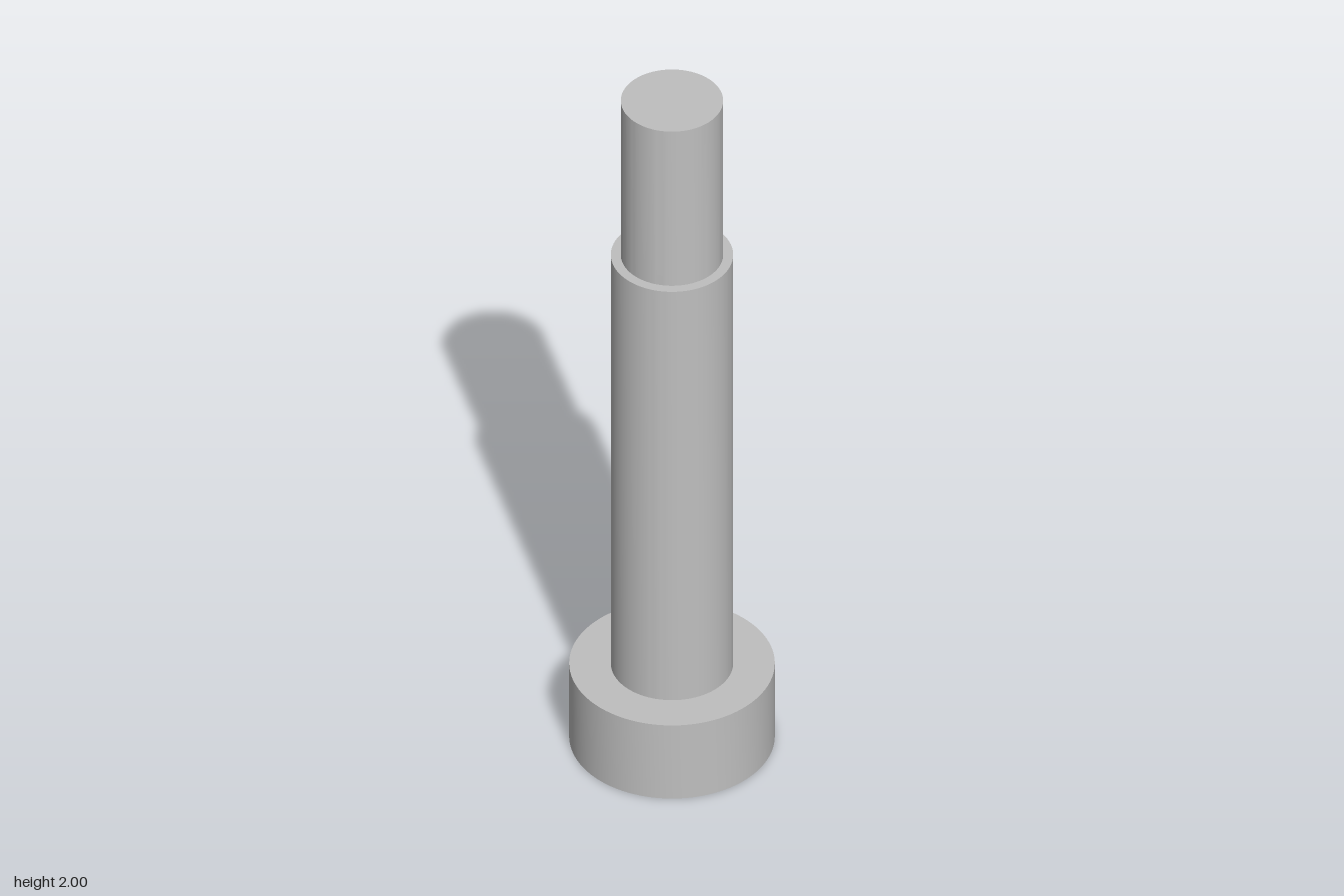
import * as THREE from 'three';
import { toCreasedNormals } from 'three/addons/utils/BufferGeometryUtils.js';

const HEAD_R = 0.257, HEAD_TOP = 0.23;
const SHOULDER_R = 0.153, SHOULDER_TOP = 1.515;
const TIP_R = 0.128, TIP_TOP = 2;
const SOCKET_R = 0.085, SOCKET_DEPTH = 0.13;
const SEGMENTS = 96;

// Turned surface with sharp edges at the steps
function turned(points, segments, start = 0) {
  const profile = points.map(([r, y]) => new THREE.Vector2(r, y));
  return toCreasedNormals(new THREE.LatheGeometry(profile, segments, start), Math.PI / 6);
}

export function createModel() {
  const group = new THREE.Group();
  group.name = 'shoulderScrew';
  const steel = new THREE.MeshStandardMaterial({ color: 0xbfbfbf });
  steel.name = 'steel';

  const add = (name, geometry) => {
    const mesh = new THREE.Mesh(geometry, steel);
    mesh.name = name;
    group.add(mesh);
  };

  // Head wall and its upper bearing face
  add('head', turned([[HEAD_R, 0], [HEAD_R, HEAD_TOP], [SHOULDER_R, HEAD_TOP]], SEGMENTS));

  // Wide shoulder with its step
  add('shoulder', turned([[SHOULDER_R, HEAD_TOP], [SHOULDER_R, SHOULDER_TOP], [TIP_R, SHOULDER_TOP]], SEGMENTS));

  // Narrow end with a flat cap
  add('tip', turned([[TIP_R, SHOULDER_TOP], [TIP_R, TIP_TOP], [0, TIP_TOP]], SEGMENTS));

  // Underside of the head, with the hexagonal opening
  const face = new THREE.Shape().absarc(0, 0, HEAD_R, 0, Math.PI * 2);
  const hexagon = Array.from({ length: 6 }, (_, i) => {
    const a = -i * Math.PI / 3;
    return new THREE.Vector2(SOCKET_R * Math.cos(a), SOCKET_R * Math.sin(a));
  });
  face.holes.push(new THREE.Path(hexagon));
  add('headUnderside', new THREE.ShapeGeometry(face, SEGMENTS).rotateX(Math.PI / 2));

  // Socket floor and six inward-facing walls
  add('hexSocket', turned([[0, SOCKET_DEPTH], [SOCKET_R, SOCKET_DEPTH], [SOCKET_R, 0]], 6, Math.PI / 6));

  return group;
}
